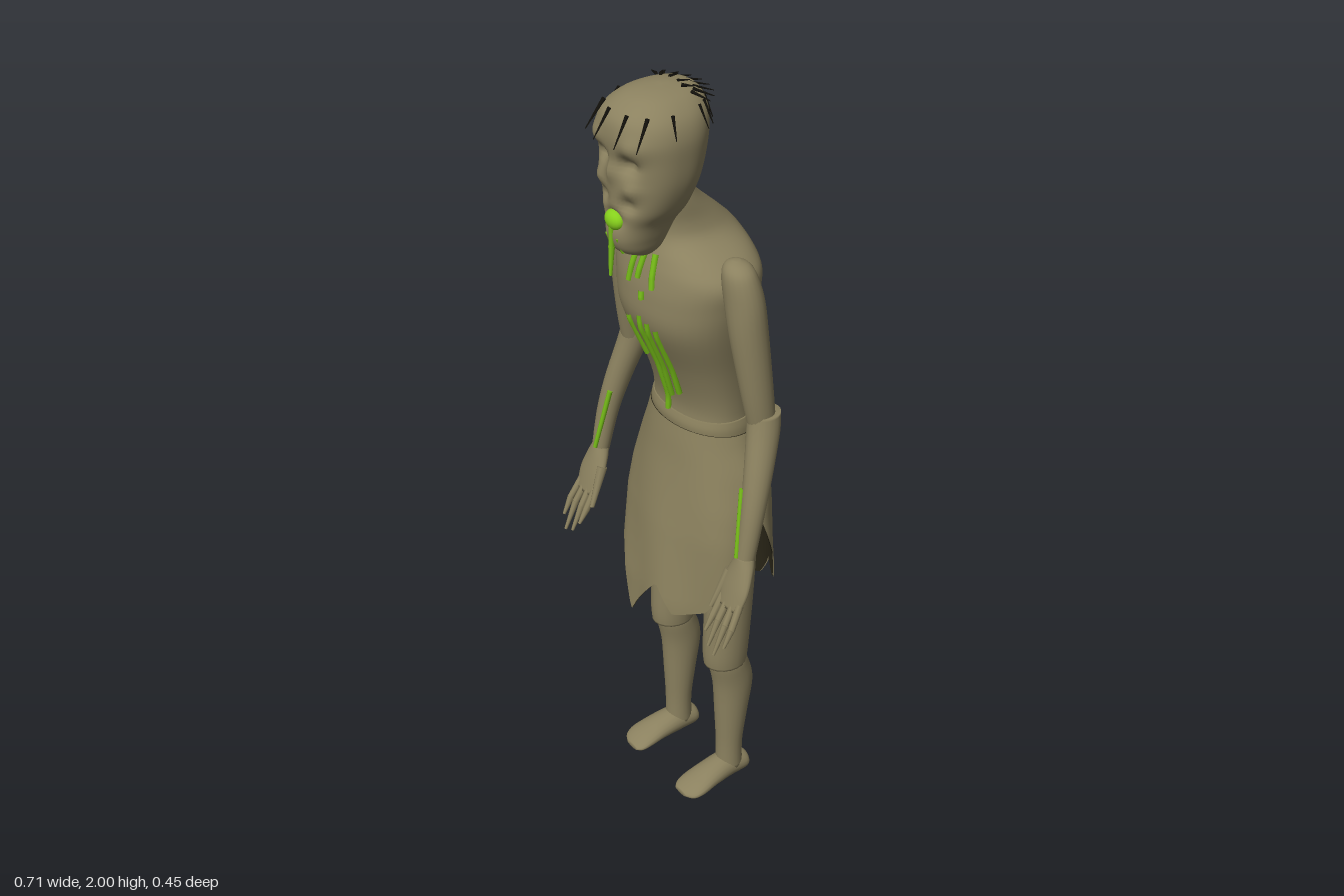
import * as THREE from 'three';

const mat = (name, color, side = THREE.FrontSide) => {
  const m = new THREE.MeshStandardMaterial({ color, side });
  m.name = name;
  return m;
};

// Catmull-Rom blend between rows of numbers, t from 0 to 1 along the list
function blend(rows, t) {
  const f = t * (rows.length - 1), i = Math.min(Math.floor(f), rows.length - 2), u = f - i;
  const at = k => rows[Math.max(0, Math.min(rows.length - 1, k))];
  return rows[0].map((_, c) => {
    const [a, b, d, e] = [at(i - 1)[c], at(i)[c], at(i + 1)[c], at(i + 2)[c]];
    return b + 0.5 * u * (d - a + u * (2 * a - 5 * b + 4 * d - e + u * (3 * (b - d) + e - a)));
  });
}

// Linear lookup in rows sorted by their first number
function lookup(rows, v) {
  let i = 0;
  while (i < rows.length - 2 && v > rows[i + 1][0]) i++;
  const u = THREE.MathUtils.clamp((v - rows[i][0]) / (rows[i + 1][0] - rows[i][0]), 0, 1);
  return rows[i].map((a, c) => a + (rows[i + 1][c] - a) * u);
}

// Grid of points point(a, t): a goes round, t goes bottom to top
function grid(seg, steps, capped, point) {
  const pos = [], idx = [];
  for (let i = 0; i <= steps; i++)
    for (let j = 0; j < seg; j++) pos.push(...point(j / seg * Math.PI * 2, i / steps));
  for (let i = 0; i < steps; i++)
    for (let j = 0; j < seg; j++) {
      const k = (j + 1) % seg, a = i * seg, b = a + seg;
      idx.push(a + j, a + k, b + k, a + j, b + k, b + j);
    }
  if (capped) for (const [row, flip] of [[0, true], [steps, false]]) {
    const c = [0, 0, 0], n = pos.length / 3;
    for (let j = 0; j < seg; j++) for (let q = 0; q < 3; q++) c[q] += pos[(row * seg + j) * 3 + q] / seg;
    pos.push(...c);
    for (let j = 0; j < seg; j++) {
      const a = row * seg + j, b = row * seg + (j + 1) % seg;
      idx.push(n, flip ? b : a, flip ? a : b);
    }
  }
  const g = new THREE.BufferGeometry();
  g.setAttribute('position', new THREE.Float32BufferAttribute(pos, 3));
  g.setIndex(idx);
  g.computeVertexNormals();
  return g;
}

const pow = (v, e) => Math.sign(v) * Math.abs(v) ** e;
// Rows are [y, x, z, rx, rz]
function loft(rows, { seg = 20, sub = 5, n = 2, warp = p => p } = {}) {
  return grid(seg, (rows.length - 1) * sub, true, (a, t) => {
    const [y, x, z, rx, rz] = blend(rows, t);
    return warp([x + rx * pow(Math.sin(a), 2 / n), y, z + rz * pow(Math.cos(a), 2 / n)]);
  });
}

// Turns [y, rx, back z, front z] into loft rows
const body = rows => rows.map(([y, rx, zb, zf]) => [y, 0, (zb + zf) / 2, rx, (zf - zb) / 2]);
const torsoRows = body([
  [0.8, 0.14, -0.145, 0.01], [0.95, 0.18, -0.172, 0.035], [1.12, 0.147, -0.157, 0.037], [1.2, 0.143, -0.15, 0.038],
  [1.3, 0.155, -0.15, 0.07], [1.42, 0.18, -0.15, 0.123], [1.5, 0.195, -0.153, 0.127], [1.56, 0.201, -0.153, 0.117],
  [1.6, 0.165, -0.145, 0.105], [1.64, 0.1, -0.125, 0.092], [1.68, 0.078, -0.085, 0.09], [1.74, 0.07, -0.02, 0.1],
  [1.8, 0.06, 0.02, 0.1]]);
const headRows = body([
  [1.61, 0.025, 0.09, 0.14], [1.63, 0.045, 0.07, 0.18], [1.66, 0.056, 0.05, 0.197], [1.7, 0.07, 0.03, 0.197],
  [1.74, 0.095, 0.01, 0.195], [1.8, 0.115, -0.012, 0.192], [1.86, 0.122, -0.027, 0.195], [1.91, 0.122, -0.035, 0.198],
  [1.95, 0.108, -0.037, 0.187], [1.98, 0.078, -0.028, 0.15], [1.994, 0.045, -0.005, 0.11], [2, 0.008, 0.04, 0.06]]);
const skirtRows = [
  [0.5, 0, -0.05, 0.222, 0.175], [0.65, 0, -0.05, 0.232, 0.17], [0.85, 0, -0.055, 0.232, 0.147],
  [0.93, 0, -0.06, 0.222, 0.138], [1.03, 0, -0.064, 0.195, 0.125], [1.09, 0, -0.062, 0.172, 0.115],
  [1.13, 0, -0.06, 0.16, 0.106]];
// Ragged hem: [degrees round from the front, height]
const hem = [
  [0, 0.64], [10, 0.69], [25, 0.62], [50, 0.65], [70, 0.8], [93, 0.92], [112, 0.8], [136, 0.65], [150, 0.68],
  [168, 0.58], [192, 0.52], [215, 0.64], [235, 0.65], [250, 0.73], [268, 0.75], [285, 0.86], [300, 0.83],
  [312, 0.72], [325, 0.7], [335, 0.61], [343, 0.54], [350, 0.59], [360, 0.64]];

// Brows, sockets, nose, cheeks and mouth: [x, y, spread x, spread y, depth]
const pair = (x, ...r) => [[x, ...r], [-x, ...r]];
const features = [
  ...pair(0.07, 1.895, 0.03, 0.024, 0.01), ...pair(0.046, 1.85, 0.026, 0.018, -0.026), [0, 1.825, 0.014, 0.028, 0.012],
  ...pair(0.06, 1.795, 0.022, 0.016, 0.01), ...pair(0.042, 1.755, 0.022, 0.015, -0.016), [0, 1.715, 0.03, 0.018, -0.018]];
const faceWarp = ([x, y, z]) => {
  const front = THREE.MathUtils.smoothstep(z, 0.08, 0.15);
  for (const [fx, fy, sx, sy, d] of features)
    z += front * d * Math.exp(-(((x - fx) / sx) ** 2) - ((y - fy) / sy) ** 2);
  return [x, y, z];
};

export function createModel() {
  const root = new THREE.Group();
  const skin = mat('skin', 0x8b815f), cloth = mat('cloth', 0x8a805d, THREE.DoubleSide);
  const lining = mat('lining', 0x2c2819, THREE.DoubleSide);
  const slime = mat('slime', 0x86d01c), drip = mat('dark slime', 0x76bc18), hair = mat('hair', 0x14120c);
  const add = (name, geo, m, parent = root) => {
    const mesh = new THREE.Mesh(geo, m);
    mesh.name = name;
    parent.add(mesh);
    return mesh;
  };
  // Tapered rod between two points
  const rod = (name, a, b, r0, r1, m, parent = root, sides = 8) => {
    const p = new THREE.Vector3(...a), q = new THREE.Vector3(...b), d = q.clone().sub(p);
    const mesh = add(name, new THREE.CylinderGeometry(r1, r0, d.length(), sides), m, parent);
    mesh.position.copy(p).add(q).multiplyScalar(0.5);
    mesh.quaternion.setFromUnitVectors(new THREE.Vector3(0, 1, 0), d.normalize());
  };

  add('torso', loft(torsoRows, { seg: 40, n: 2.2 }), skin);
  add('head', loft(headRows, { seg: 72, sub: 6, n: 2.3, warp: faceWarp }), skin);
  add('waistband', loft(body([[1.11, 0.15, -0.161, 0.04], [1.14, 0.149, -0.16, 0.043], [1.163, 0.144, -0.154, 0.038]]),
    { seg: 40, n: 2.2 }), cloth);

  // Ragged skirt with slanting folds, and a dark lining just inside it
  const skirt = size => grid(132, 24, false, (a, t) => {
    const low = lookup(hem, a * 180 / Math.PI)[1], y = low + (1.13 - low) * t;
    const [, x, z, rx, rz] = lookup(skirtRows, y);
    const k = size + 0.025 * (1 - t) * Math.sin(7 * a + 9 * y);
    return [x + rx * k * Math.sin(a), y, z + rz * k * Math.cos(a)];
  });
  add('skirt', skirt(1), cloth);
  add('skirtLining', skirt(0.985), lining);

  // Arms and legs
  for (const s of [1, -1]) {
    const side = s > 0 ? 'left' : 'right';
    const limb = rows => loft(rows.map(([y, x, ...r]) => [y, s * x, ...r]));
    const arm = new THREE.Group(), leg = new THREE.Group();
    arm.name = side + 'Arm';
    leg.name = side + 'Leg';
    root.add(arm, leg);
    add('upperArm', limb([
      [1.2, 0.256, -0.042, 0.029, 0.034], [1.3, 0.25, -0.028, 0.036, 0.04], [1.45, 0.235, -0.012, 0.045, 0.046],
      [1.54, 0.223, -0.006, 0.05, 0.045], [1.6, 0.212, 0, 0.045, 0.039], [1.625, 0.204, 0, 0.032, 0.027],
      [1.635, 0.2, 0, 0.008, 0.008]]), skin, arm);
    add('forearm', limb([
      [0.88, 0.305, 0.042, 0.023, 0.023], [1, 0.299, 0.018, 0.029, 0.029], [1.1, 0.285, -0.008, 0.034, 0.035],
      [1.2, 0.264, -0.037, 0.038, 0.041], [1.25, 0.254, -0.046, 0.038, 0.041]]), skin, arm);
    add('hand', limb([
      [0.77, 0.306, 0.088, 0.04, 0.011], [0.82, 0.305, 0.07, 0.047, 0.016], [0.87, 0.305, 0.05, 0.036, 0.021],
      [0.9, 0.305, 0.04, 0.022, 0.022]]), skin, arm);
    [[0.274, 0.7, 0.135], [0.296, 0.67, 0.143], [0.323, 0.66, 0.147], [0.347, 0.69, 0.135]].forEach(([x, y, z], i) => {
      const base = [s * (0.275 + i * 0.021), 0.79, 0.08], mid = [s * x, 0.735, 0.112];
      rod('finger', base, mid, 0.01, 0.009, skin, arm);
      rod('fingertip', mid, [s * x, y, z], 0.009, 0.004, skin, arm);
    });
    rod('thumb', [s * 0.272, 0.85, 0.06], [s * 0.257, 0.75, 0.105], 0.014, 0.006, skin, arm);
    rod('armDrip', [s * 0.272, 1.07, 0.029], [s * 0.298, 0.9, 0.062], 0.007, 0.006, drip, arm);

    add('thigh', limb([
      [0.41, 0.115, -0.052, 0.051, 0.059], [0.46, 0.115, -0.053, 0.054, 0.063], [0.6, 0.115, -0.06, 0.057, 0.066],
      [0.75, 0.11, -0.065, 0.064, 0.07], [0.92, 0.1, -0.07, 0.07, 0.072]]), skin, leg);
    add('shin', limb([
      [0.04, 0.115, -0.07, 0.036, 0.037], [0.12, 0.115, -0.07, 0.036, 0.036], [0.22, 0.115, -0.074, 0.042, 0.045],
      [0.33, 0.115, -0.078, 0.047, 0.057], [0.4, 0.115, -0.062, 0.049, 0.055], [0.43, 0.115, -0.056, 0.046, 0.053]]), skin, leg);
    // Foot runs from heel to toe, then is tipped forward
    const foot = limb([
      [-0.128, 0.115, -0.03, 0.012, 0.014], [-0.115, 0.115, -0.032, 0.032, 0.028], [-0.06, 0.115, -0.038, 0.037, 0.036],
      [0, 0.118, -0.034, 0.042, 0.03], [0.05, 0.12, -0.025, 0.046, 0.021], [0.078, 0.118, -0.018, 0.04, 0.013],
      [0.092, 0.113, -0.015, 0.022, 0.006]]);
    add('foot', foot.rotateX(Math.PI / 2), skin, leg);
  }

  // Slime: blob in the mouth, strings on the chin and runs on the chest
  const blob = add('mouthSlime', new THREE.SphereGeometry(1, 20, 14), slime);
  blob.scale.set(0.03, 0.024, 0.02);
  blob.position.set(0, 1.708, 0.186);
  rod('chinDrip', [0, 1.695, 0.196], [0, 1.64, 0.197], 0.007, 0.007, drip);
  rod('chinDrip', [0, 1.645, 0.197], [0.002, 1.575, 0.203], 0.008, 0.004, drip);
  for (const x of [-0.022, 0.018]) rod('chinDrip', [x, 1.67, 0.193], [x * 0.9, 1.63, 0.177], 0.005, 0.005, drip);
  const chest = [
    [-0.03, 1.61, -0.042, 1.52], [0.035, 1.61, 0.045, 1.53], [0, 1.6, -0.008, 1.54], [0.012, 1.515, 0.014, 1.495],
    [-0.045, 1.43, -0.042, 1.31], [0.003, 1.45, -0.006, 1.16], [0.03, 1.44, 0.014, 1.21], [0.056, 1.43, 0.047, 1.23]];
  for (const [x0, y0, x1, y1] of chest) {
    const pts = [];
    for (let i = 0; i <= 8; i++) {
      const x = x0 + (x1 - x0) * i / 8, y = y0 + (y1 - y0) * i / 8, [, , z, rx, rz] = lookup(torsoRows, y);
      pts.push(new THREE.Vector3(x, y, z + rz * (1 - Math.abs(x / rx) ** 2.2) ** (1 / 2.2) + 0.001));
    }
    add('chestDrip', new THREE.TubeGeometry(new THREE.CatmullRomCurve3(pts), 16, 0.008, 8), drip);
  }

  // Sparse hair: strands over the brow, a fan at the crown and short tufts
  const strand = (name, a, b, r) => rod(name, a, b, r, 0.001, hair, root, 4);
  for (const [x, z] of [[-0.075, 0.17], [-0.02, 0.19], [0.045, 0.185], [0.09, 0.16]])
    strand('browStrand', [x * 0.9, 1.965, z - 0.008], [x * 1.08, 1.9, z + 0.034], 0.005);
  for (const s of [1, -1]) strand('sideStrand', [s * 0.1, 1.965, 0.1], [s * 0.13, 1.92, 0.112], 0.004);
  for (let i = -4; i <= 4; i++) {
    const a = i * 0.29, x = Math.sin(a), z = Math.cos(a);
    strand('crownStrand', [x * 0.07, 1.99, 0.045 - z * 0.05], [x * 0.118, 1.978, 0.045 - z * 0.097], 0.004);
    if (i % 2) strand('tuft', [x * 0.05, 1.998, 0.045 - z * 0.02], [x * 0.075, 1.996, 0.04 - z * 0.045], 0.005);
    strand('backStrand', [x * 0.1, 1.97, 0.06 - z * 0.092], [x * 0.13, 1.92, 0.06 - z * 0.106], 0.004);
  }
  return root;
}
